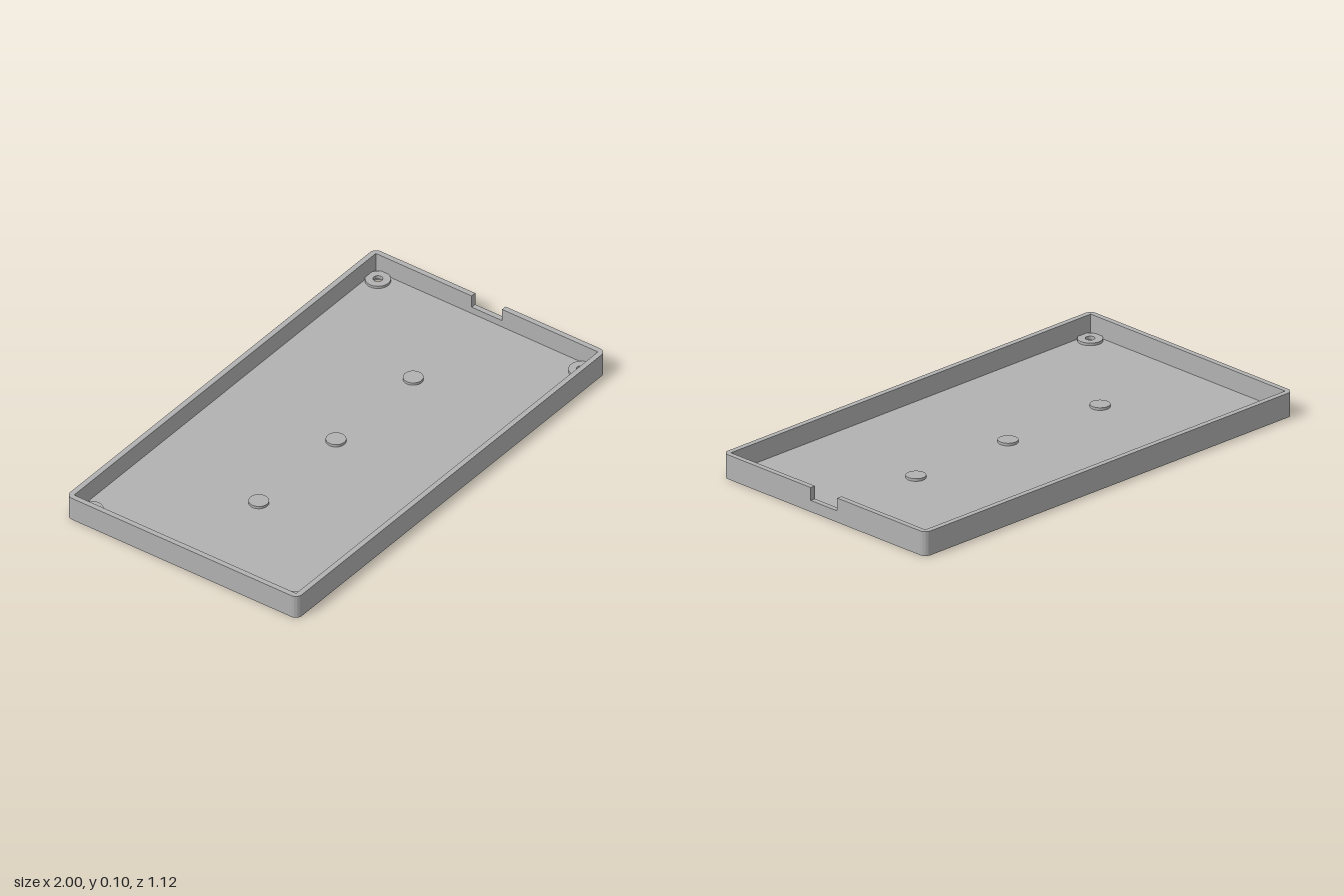
import * as THREE from 'three';
import { toCreasedNormals } from 'three/addons/utils/BufferGeometryUtils.js';

const HX = 1, HZ = 0.558, R = 0.03;        // outer half sizes and corner radius
const IX = 0.977, IZ = 0.535;              // inner half sizes
const FLOOR = 0.018, SILL = 0.048, RIM = 0.102;
const NOTCH = 0.073;                       // half width of the cable notch
const BOSS = 0.05;

export function createModel() {
  const group = new THREE.Group();
  const grey = new THREE.MeshStandardMaterial({ color: 0xb2b2b2 });
  grey.name = 'plain grey';

  const add = (name, geometry, x = 0, y = 0, z = 0) => {
    const mesh = new THREE.Mesh(toCreasedNormals(geometry, 0.6), grey);
    mesh.name = name;
    mesh.position.set(x, y, z);
    group.add(mesh);
  };
  const slab = (shape, y0, y1) =>
    new THREE.ExtrudeGeometry(shape, { depth: y1 - y0, bevelEnabled: false, curveSegments: 24 })
      .rotateX(-Math.PI / 2).translate(0, y0, 0);

  // Rounded outline, running round from the right side and back to it
  const outline = (gap) => {
    const s = new THREE.Shape();
    s.moveTo(HX, gap);
    s.lineTo(HX, HZ - R);
    s.absarc(HX - R, HZ - R, R, 0, Math.PI / 2);
    s.absarc(-HX + R, HZ - R, R, Math.PI / 2, Math.PI);
    s.absarc(-HX + R, -HZ + R, R, Math.PI, Math.PI * 1.5);
    s.absarc(HX - R, -HZ + R, R, Math.PI * 1.5, Math.PI * 2);
    s.lineTo(HX, -gap);
    return s;
  };
  const corners = [[1, 1], [-1, 1], [-1, -1], [1, -1]].map(([a, b]) => [a * 0.93, b * 0.49]);

  // Floor, open where the screw bosses sit
  const floor = outline(0);
  for (const [x, z] of corners) {
    floor.holes.push(new THREE.Path().absarc(x, z, BOSS, 0, Math.PI * 2, true));
  }
  add('floor', slab(floor, 0, FLOOR));

  // Lower wall, a closed ring up to the notch sill
  const ring = outline(0);
  ring.holes.push(new THREE.Path([[IX, IZ], [IX, -IZ], [-IX, -IZ], [-IX, IZ]]
    .map(([x, y]) => new THREE.Vector2(x, y))));
  add('lowerWall', slab(ring, FLOOR, SILL));

  // Upper wall, interrupted by the notch
  const open = outline(NOTCH);
  [[IX, -NOTCH], [IX, -IZ], [-IX, -IZ], [-IX, IZ], [IX, IZ], [IX, NOTCH]]
    .forEach(([x, y]) => open.lineTo(x, y));
  add('upperWall', slab(open, SILL, RIM));

  // Screw bosses with a through hole and a counterbore underneath
  const profile = [[BOSS, FLOOR], [BOSS, 0.029], [0.019, 0.029], [0.019, 0.014],
    [0.03, 0.014], [0.03, 0], [BOSS, 0]].map(([r, y]) => new THREE.Vector2(r, y));
  for (const [x, z] of corners) add('screwBoss', new THREE.LatheGeometry(profile, 48), x, 0, z);

  // Support pads along the middle
  for (const x of [-0.5, 0, 0.5]) {
    add('supportPad', new THREE.CylinderGeometry(0.04, 0.04, 0.012, 48), x, 0.023, 0);
  }
  return group;
}
